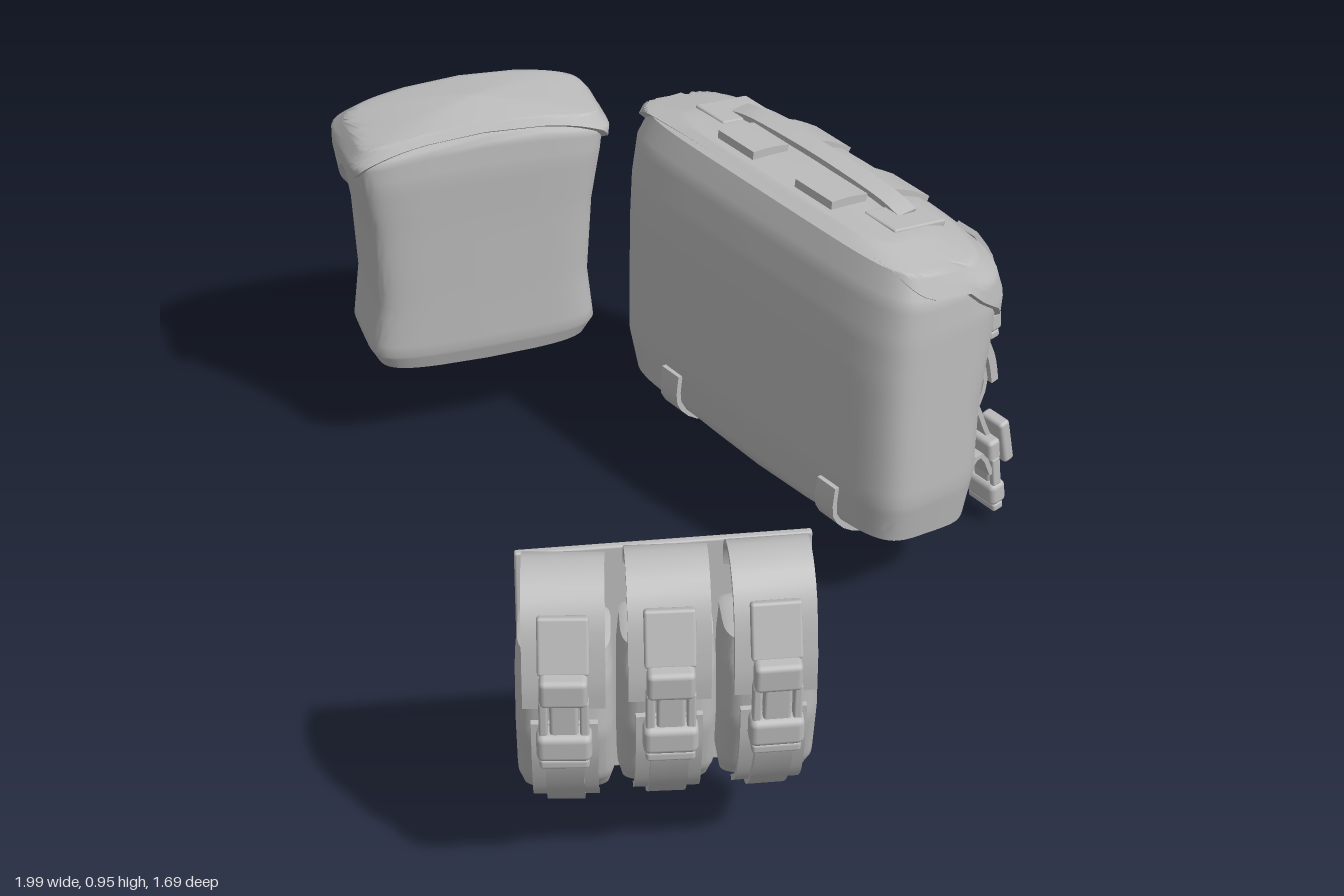
import * as THREE from 'three';
import { toCreasedNormals } from 'three/addons/utils/BufferGeometryUtils.js';
import { RoundedBoxGeometry } from 'three/addons/geometries/RoundedBoxGeometry.js';

const canvas = new THREE.MeshStandardMaterial({ color: 0xbcbcbc, side: THREE.DoubleSide });
canvas.name = 'grey canvas';

function add(parent, name, geo, x = 0, y = 0, z = 0, rx = 0, rz = 0) {
  const m = new THREE.Mesh(geo, canvas);
  m.name = name;
  m.position.set(x, y, z);
  m.rotation.set(rx, 0, rz);
  parent.add(m);
  return m;
}

// Rows are [y, half width, back z, front z, slope along z, arch across x]
function ringPoint(rows, s, a, eFront, grow) {
  const last = rows.length - 1, i = Math.min(Math.floor(s), last - 1);
  const [y, hw, z0, z1, slope, arch] = rows[i].map((v, k) => THREE.MathUtils.lerp(v, rows[i + 1][k], s - i));
  const c = Math.cos(a), n = Math.sin(a);
  const p = 2 / (n > 0 ? eFront : 6);
  const out = grow * Math.min(1, last - s); // fades out where the top closes
  const x = (hw + out) * Math.sign(c) * Math.abs(c) ** p;
  const z = (z0 + z1) / 2 + ((z1 - z0) / 2 + out) * Math.sign(n) * Math.abs(n) ** p;
  return [x, y + slope * z - arch * x * x + grow * s / rows.length, z];
}

// Grid skin around the rows, from start(sin of angle) up to the last row
function skin(rows, eFront, start = () => 0, grow = 0, steps = 40) {
  const N = 64, pos = [], idx = [];
  for (let j = 0; j <= steps; j++) {
    for (let k = 0; k < N; k++) {
      const a = k / N * Math.PI * 2, s0 = start(Math.sin(a));
      // the first row of a flap tucks in to close its rim
      const t = grow ? Math.max(0, j - 1) / (steps - 1) : j / steps;
      const s = s0 + (rows.length - 1 - s0) * t;
      pos.push(...ringPoint(rows, s, a, eFront, grow && j === 0 ? 0 : grow));
      if (j < steps) {
        const p = j * N + k, q = j * N + (k + 1) % N;
        idx.push(p, p + N, q, q, p + N, q + N);
      }
    }
  }
  const g = new THREE.BufferGeometry();
  g.setAttribute('position', new THREE.Float32BufferAttribute(pos, 3));
  g.setIndex(idx);
  return toCreasedNormals(g, 0.8);
}

// Webbing that follows a smooth path of [z, y] points, w wide along x
function webbing(path, w, t = 0.012) {
  const pts = new THREE.SplineCurve(path.map(p => new THREE.Vector2(...p))).getPoints(20);
  const side = d => pts.map((p, i) => {
    const v = pts[Math.min(i + 1, 20)].clone().sub(pts[Math.max(i - 1, 0)]).normalize();
    return new THREE.Vector2(p.x - v.y * d, p.y + v.x * d);
  });
  const shape = new THREE.Shape([...side(t / 2), ...side(-t / 2).reverse()]);
  const g = new THREE.ExtrudeGeometry(shape, { depth: w, bevelEnabled: false });
  g.translate(0, 0, -w / 2).rotateY(-Math.PI / 2);
  return toCreasedNormals(g, 0.6);
}

const rbox = (w, h, d) => new RoundedBoxGeometry(w, h, d, 2, Math.min(w, h, d) * 0.3);

// Side release buckle, about 0.2 tall
function buckle(parent, x, y, z, rx = 0, k = 1, rz = 0) {
  const g = new THREE.Group();
  g.name = 'buckle';
  add(g, 'buckleTop', rbox(0.085, 0.06, 0.035), 0, 0.075, 0);
  add(g, 'buckleTongue', rbox(0.05, 0.09, 0.022), 0, 0.015, 0);
  for (const s of [-1, 1]) add(g, 'buckleProng', rbox(0.016, 0.08, 0.024), s * 0.036, 0.015, 0);
  add(g, 'buckleBase', rbox(0.098, 0.06, 0.045), 0, -0.05, 0);
  add(g, 'buckleBar', rbox(0.088, 0.022, 0.03), 0, -0.09, 0);
  g.position.set(x, y, z);
  g.rotation.set(rx, 0, rz);
  g.scale.setScalar(k);
  parent.add(g);
}

function satchel() {
  const g = new THREE.Group();
  g.name = 'satchel';
  const rows = [
    [0.19, 0, 0.18, 0.18, -0.17, -0.2], [0.19, 0.37, 0.05, 0.34, -0.17, -0.2], [0.235, 0.46, 0.012, 0.37, -0.15, 0],
    [0.33, 0.48, 0, 0.385, -0.05, 0], [0.5, 0.48, 0, 0.39, 0, 0], [0.65, 0.48, 0, 0.42, 0, 0],
    [0.75, 0.48, 0.005, 0.43, 0, 0], [0.85, 0.475, 0.02, 0.405, -0.12, 0], [0.92, 0.45, 0.045, 0.34, -0.18, 0],
    [0.94, 0.33, 0.08, 0.27, -0.18, 0], [0.945, 0, 0.17, 0.17, -0.18, 0]];
  add(g, 'satchelBody', skin(rows, 2.7, undefined, 0, 50));
  add(g, 'satchelFlap', skin(rows, 2.7, n => n > 0 ? 7 - 2.5 * n ** 0.7 : 7 - 1.4 * n, 0.012));
  // carry handle and its patches on the lid
  for (const x of [-0.115, 0.145]) {
    add(g, 'handlePatch', webbing([[0.09, 0.944], [0.14, 0.938], [0.19, 0.926]], 0.12, 0.02), x);
    add(g, 'handlePatch', webbing([[0.25, 0.914], [0.31, 0.888], [0.37, 0.85]], 0.12, 0.02), x);
  }
  const grip = webbing([[-0.28, 0.91], [-0.2, 0.925], [0, 0.932], [0.2, 0.925], [0.28, 0.91]], 0.05, 0.014);
  add(g, 'handle', grip.rotateY(Math.PI / 2), 0.02, 0, 0.23);
  for (const s of [-1, 1]) add(g, 'handlePad', rbox(0.1, 0.016, 0.15), 0.02 + s * 0.285, 0.907, 0.22, 0.2);
  add(g, 'pullTab', rbox(0.11, 0.1, 0.025), 0, 0.57, 0.44, -0.3);
  // closing straps and hanging clips
  [[0.245, 0, 0.06], [-0.3, 0.035, 0]].forEach(([x, lift, lean]) => {
    add(g, 'closingStrap', webbing([[0.37, 0.84], [0.425, 0.75], [0.43, 0.65], [0.41, 0.52], [0.43, 0.42], [0.39, 0.32], [0.36, 0.2]], 0.06), x);
    buckle(g, x, 0.64, 0.43, -0.1, 0.95);
    add(g, 'strapTail', webbing([[0.425, 0.55], [0.46, 0.47], [0.475, 0.4]], 0.05, 0.02), x + 0.01);
    add(g, 'underStrap', webbing([[-0.004, 0.33], [-0.004, 0.25], [0.07, 0.185], [0.22, 0.155], [0.36, 0.165], [0.43, 0.22], [0.47, 0.15]], 0.06), x);
    add(g, 'strapLoop', webbing([[0.375, 0.4], [0.43, 0.35], [0.47, 0.26], [0.5, 0.2]], 0.045), x + 0.02);
    buckle(g, x + 0.01, 0.103 + lift, 0.485, -0.12, 1, lean);
    add(g, 'spareClip', rbox(0.07, 0.12, 0.03), x + 0.02, 0.17 + lift, 0.53, -0.2);
  });
  g.position.set(-0.04, 0, -0.295);
  g.rotation.y = Math.PI;
  return g;
}

function sidePouch() {
  const g = new THREE.Group();
  g.name = 'sidePouch';
  const rows = [
    [0.265, 0, 0, 0, 0, 0], [0.265, 0.25, -0.11, 0.13, 0, -0.2], [0.31, 0.27, -0.125, 0.145, 0, -0.1],
    [0.45, 0.255, -0.13, 0.14, 0, 0], [0.65, 0.265, -0.14, 0.135, 0, 0], [0.8, 0.285, -0.15, 0.14, 0, 0.2],
    [0.87, 0.29, -0.148, 0.11, 0, 0.4], [0.91, 0.265, -0.13, 0.06, 0, 0.5], [0.92, 0, -0.04, -0.04, 0, 0.5]];
  add(g, 'pouchBody', skin(rows, 6));
  add(g, 'pouchFlap', skin(rows, 6, n => n > 0 ? 5 - 1.3 * n ** 0.5 : 5 - 1.5 * n, 0.014));
  add(g, 'pouchStrap', webbing([[0.155, 0.77], [0.16, 0.62], [0.15, 0.45], [0.153, 0.31], [0.12, 0.262]], 0.075));
  buckle(g, 0, 0.61, 0.17, 0, 1.1);
  g.position.set(-0.772, 0, -0.087);
  g.rotation.y = -1.93;
  return g;
}

function triplePouch() {
  const g = new THREE.Group();
  g.name = 'triplePouch';
  add(g, 'backPanel', rbox(0.58, 0.56, 0.016), 0, 0.505, 0);
  const rows = [
    [0.23, 0, 0.03, 0.03, 0, 0], [0.23, 0.085, 0, 0.065, 0, 0], [0.3, 0.096, 0, 0.125, 0, 0],
    [0.45, 0.097, 0, 0.175, 0, 0], [0.58, 0.096, 0, 0.18, 0, 0], [0.65, 0.09, 0, 0.16, 0, 0], [0.66, 0, 0.08, 0.08, 0, 0]];
  for (const i of [-1, 0, 1]) {
    const cell = new THREE.Group();
    cell.name = 'magazineCell';
    add(cell, 'cellBody', skin(rows, 3));
    // lid arches over the open top, then the strap runs down to the base
    add(cell, 'cellLid', webbing([[0, 0.62], [0.005, 0.74], [0.04, 0.8], [0.11, 0.8], [0.17, 0.74], [0.193, 0.62], [0.193, 0.55]], 0.16));
    add(cell, 'lidTab', rbox(0.1, 0.12, 0.022), 0, 0.7, 0.193, -0.3);
    add(cell, 'cellStrap', webbing([[0.215, 0.5], [0.195, 0.4], [0.147, 0.3], [0.075, 0.22], [0, 0.215]], 0.075));
    add(cell, 'cellBand', webbing([[0.18, 0.5], [0.17, 0.4], [0.13, 0.29], [0.065, 0.222]], 0.13));
    buckle(cell, 0, 0.535, 0.222, 0.06, 1.1);
    cell.position.x = i * 0.195;
    cell.rotation.y = i * 0.05 - 0.06;
    g.add(cell);
  }
  add(g, 'baseTab', rbox(0.075, 0.08, 0.016), 0, 0.2, 0.01, -0.1);
  g.position.set(0.66, 0, 0.492);
  g.rotation.y = 1.02;
  return g;
}

export function createModel() {
  const model = new THREE.Group();
  model.name = 'fieldBags';
  model.add(satchel(), sidePouch(), triplePouch());
  return model;
}
